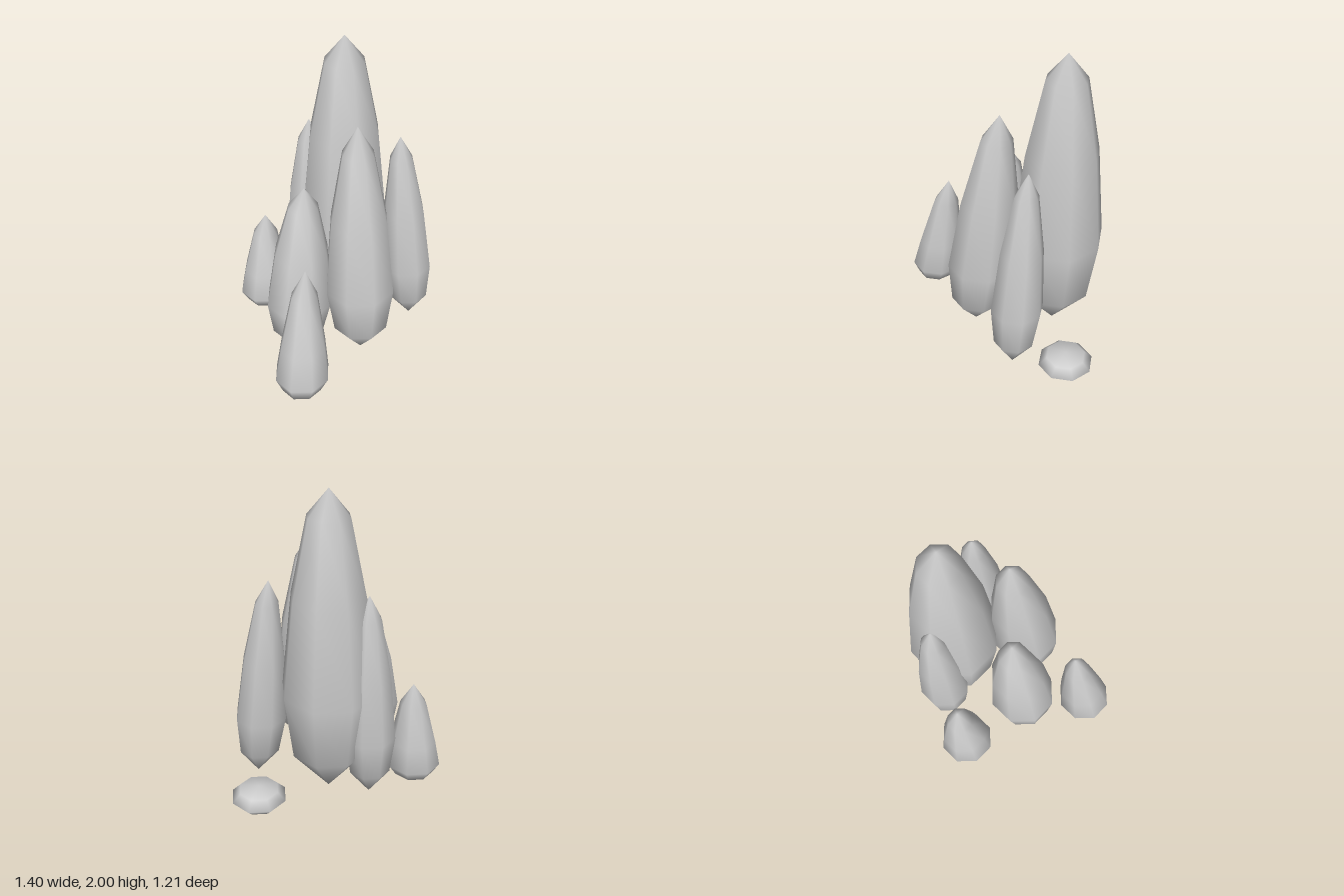
import * as THREE from 'three';
import { mergeVertices } from 'three/addons/utils/BufferGeometryUtils.js';

const material = new THREE.MeshStandardMaterial({ color: 0xcccccc });

// Profiles as [radius fraction, height fraction], bottom to top
const tall = [[0, 0], [0.8, 0.135], [1, 0.32], [0.81, 0.62], [0.44, 0.895], [0, 1]];
const great = [[0, 0], [0.82, 0.155], [1, 0.37], [0.77, 0.68], [0.43, 0.92], [0, 1]];
const squat = [[0, 0], [0.73, 0.07], [1, 0.18], [0.83, 0.42], [0.47, 0.81], [0, 1]];
const pebble = [[0, 0], [0.71, 0.15], [1, 0.5], [0.71, 0.85], [0, 1]];

// Eight-sided smooth spire leaning from its bottom point to its tip
function spire(name, profile, radius, bottom, tip) {
  const [bx, by, bz] = bottom, [tx, ty, tz] = tip;
  const points = profile.map(([r, h]) => new THREE.Vector2(r * radius, h));
  let geometry = new THREE.LatheGeometry(points, 8);
  const pos = geometry.attributes.position;
  for (let i = 0; i < pos.count; i++) {
    const h = pos.getY(i);
    pos.setXYZ(i,
      pos.getX(i) + bx + (tx - bx) * h,
      by + (ty - by) * h,
      pos.getZ(i) + bz + (tz - bz) * h);
  }
  // Weld the seam and the poles so the shading is continuous
  geometry.deleteAttribute('uv');
  geometry.deleteAttribute('normal');
  geometry = mergeVertices(geometry, 1e-4);
  geometry.computeVertexNormals();
  const mesh = new THREE.Mesh(geometry, material);
  mesh.name = name;
  return mesh;
}

export function createModel() {
  const group = new THREE.Group();
  group.name = 'rockSpireCluster';
  group.add(
    spire('greatSpire', great, 0.295, [0.05, 0.015, -0.27], [0.08, 2, -0.3]),
    spire('frontSpire', tall, 0.225, [-0.05, 0.015, 0.24], [0, 1.615, 0.07]),
    spire('leftSpire', tall, 0.165, [0.39, 0.015, 0.08], [0.325, 1.41, -0.027]),
    spire('rightSpire', tall, 0.216, [-0.42, 0.015, 0.04], [-0.3, 1.2, -0.04]),
    spire('backSpire', tall, 0.165, [-0.15, 0.015, -0.437], [-0.1, 1.4, -0.455]),
    spire('frontStub', squat, 0.173, [-0.547, 0.015, 0.45], [-0.445, 0.9, 0.33]),
    spire('backStub', squat, 0.174, [-0.485, 0.015, -0.43], [-0.43, 0.74, -0.46]),
    spire('flatPebble', pebble, 0.175, [0.52, 0, -0.237], [0.52, 0.152, -0.237]),
  );
  return group;
}
